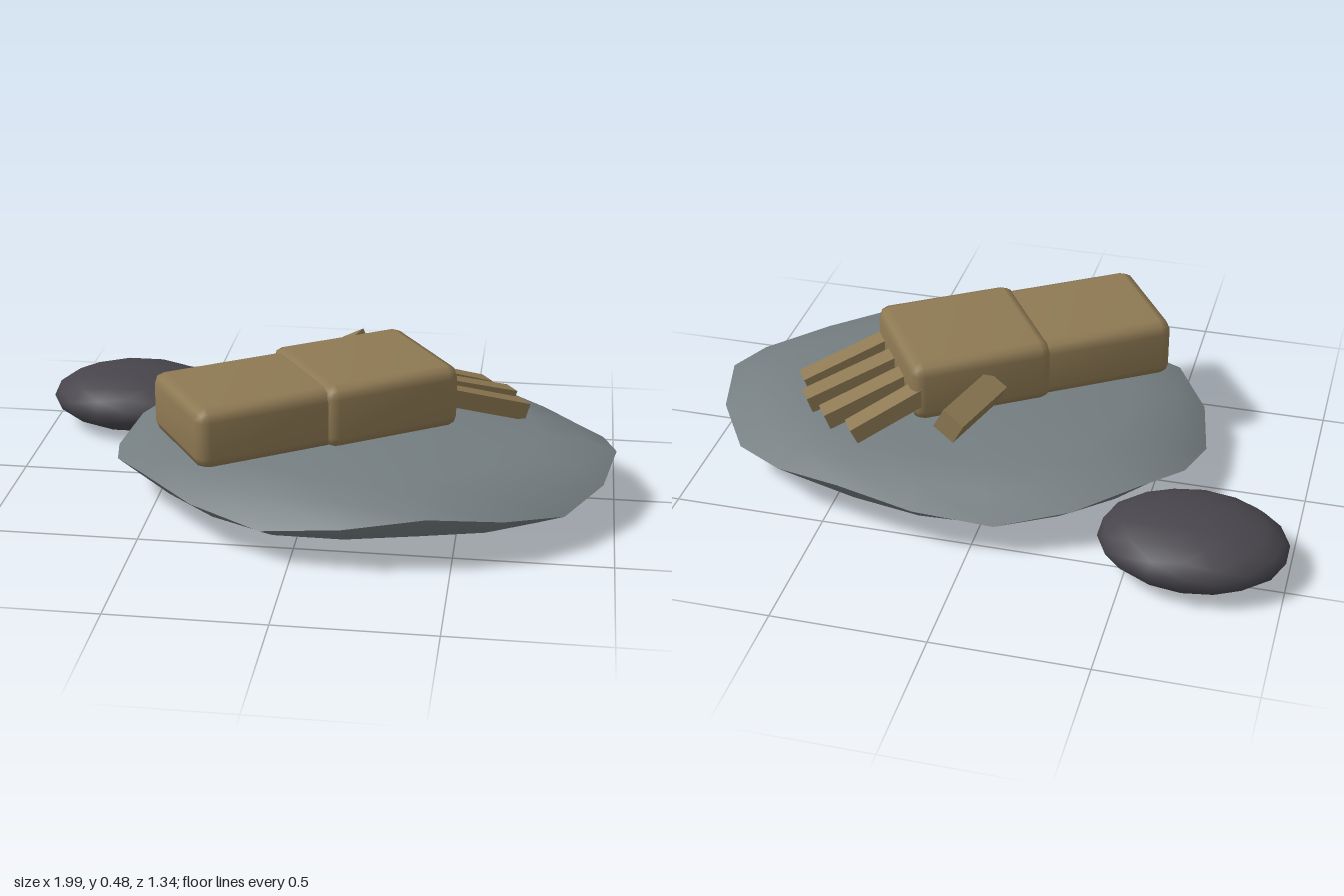
import * as THREE from 'three';
import { mergeVertices } from 'three/addons/utils/BufferGeometryUtils.js';
import { RoundedBoxGeometry } from 'three/addons/geometries/RoundedBoxGeometry.js';

const paint = (name, color) => {
  const m = new THREE.MeshStandardMaterial({ color });
  m.name = name;
  return m;
};

// Weld vertices so the shading runs softly over the whole surface
function soften(geometry) {
  geometry.deleteAttribute('uv');
  geometry.deleteAttribute('normal');
  const welded = mergeVertices(geometry, 1e-4);
  welded.computeVertexNormals();
  return welded;
}

function add(parent, name, geometry, material, x = 0, y = 0, z = 0) {
  const mesh = new THREE.Mesh(geometry, material);
  mesh.name = name;
  mesh.position.set(x, y, z);
  parent.add(mesh);
  return mesh;
}

// One half of the slab: a shallow dome whose rim zigzags up and down five times
function slabHalf(side) {
  const radii = [1, 0.88, 0.7, 0.4, 0];
  const points = radii.map(r => new THREE.Vector2(r, 0.15 + side * 0.13 * Math.sqrt(1 - r * r)));
  if (side < 0) points.reverse();
  const g = new THREE.LatheGeometry(points, 20);
  const p = g.attributes.position;
  for (let i = 0; i < p.count; i++) {
    const x = p.getX(i), z = p.getZ(i);
    const turns = Math.atan2(z, x) / (Math.PI * 0.4);
    const wave = 1 - 4 * Math.abs(turns - Math.round(turns));
    const weight = Math.hypot(x, z) ** 8;
    p.setXYZ(i, x * 0.828, p.getY(i) + weight * (0.01 + 0.035 * wave), z * 0.628);
  }
  return soften(g);
}

export function createModel() {
  const model = new THREE.Group();
  const slabGrey = paint('slab grey', 0x747d80);
  const rockGrey = paint('dark rock grey', 0x47454b);
  const sandstone = paint('weathered sandstone', 0x8e7953);

  // Boulder slab
  const slab = new THREE.Group();
  slab.name = 'slab';
  slab.position.set(0.17, 0, 0.043);
  model.add(slab);
  add(slab, 'slabTop', slabHalf(1), slabGrey);
  add(slab, 'slabUnderside', slabHalf(-1), slabGrey);

  // Small rock beside it
  const rock = add(model, 'smallRock', new THREE.IcosahedronGeometry(1, 2), rockGrey, -0.7, 0.108, -0.445);
  rock.scale.set(0.302, 0.108, 0.232);

  // Stone hand lying diagonally across the slab
  const hand = new THREE.Group();
  hand.name = 'stoneHand';
  hand.position.set(0.17, 0, 0.04);
  hand.rotation.y = 0.575;
  model.add(hand);
  add(hand, 'palm', soften(new RoundedBoxGeometry(0.475, 0.21, 0.45, 1, 0.04)), sandstone, 0, 0.38, 0);
  add(hand, 'forearm', soften(new RoundedBoxGeometry(0.48, 0.2, 0.41, 1, 0.04)), sandstone, -0.427, 0.375, 0);

  // Four fingers drooping from the palm's front edge
  const tips = [[0.44, -0.185], [0.5, -0.075], [0.53, 0.04], [0.51, 0.158]];
  tips.forEach(([reach, z], i) => {
    const start = 0.17, run = reach - start, drop = 0.118;
    const finger = add(hand, 'finger' + (i + 1),
      new THREE.BoxGeometry(Math.hypot(run, drop), 0.058, 0.068), sandstone,
      start + run / 2, 0.385 - drop / 2, z);
    finger.rotation.z = -Math.atan2(drop, run);
  });

  // Thumb, rolled onto one edge
  const thumb = add(model, 'thumb', new THREE.BoxGeometry(0.083, 0.083, 0.27), sandstone, 0.065, 0.365, -0.26);
  thumb.rotation.set(0, -0.28, 0.5, 'YXZ');

  return model;
}
